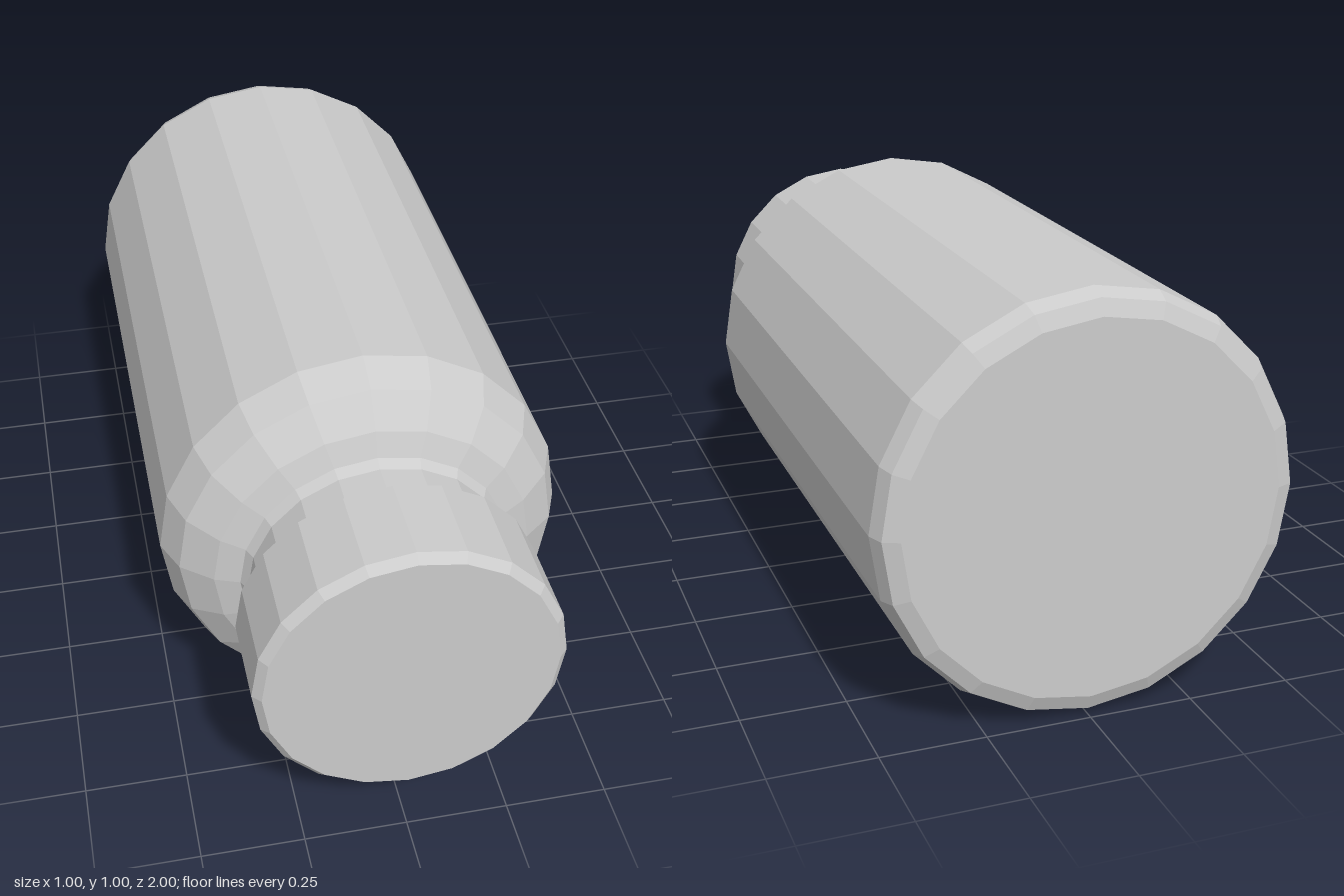
import * as THREE from 'three';

const SIDES = 20;
const RADIUS = 0.499;

// Turns a [radius, z] profile, listed back to front, around the z axis.
function turned(name, profile, material) {
  const points = profile.map(([r, z]) => new THREE.Vector2(r, z));
  const geometry = new THREE.LatheGeometry(points, SIDES).rotateX(Math.PI / 2);
  const mesh = new THREE.Mesh(geometry, material);
  mesh.name = name;
  mesh.position.y = RADIUS;
  return mesh;
}

export function createModel() {
  const group = new THREE.Group();
  group.name = 'bottle';
  const material = new THREE.MeshStandardMaterial({ color: 0xcccccc, flatShading: true });

  // Flat base, bevelled rim, straight wall, rounded shoulder and neck
  group.add(turned('body', [
    [0, -1], [0.445, -1], [0.483, -0.985], [RADIUS, -0.945],
    [RADIUS, 0.45], [0.463, 0.535], [0.388, 0.595],
    [0.328, 0.617], [0.314, 0.642], [0.314, 0.77],
  ], material));

  // Screw cap with a narrow bevel at the front
  group.add(turned('cap', [
    [0.3, 0.76], [0.363, 0.76], [0.363, 0.98], [0.343, 1], [0, 1],
  ], material));

  return group;
}
